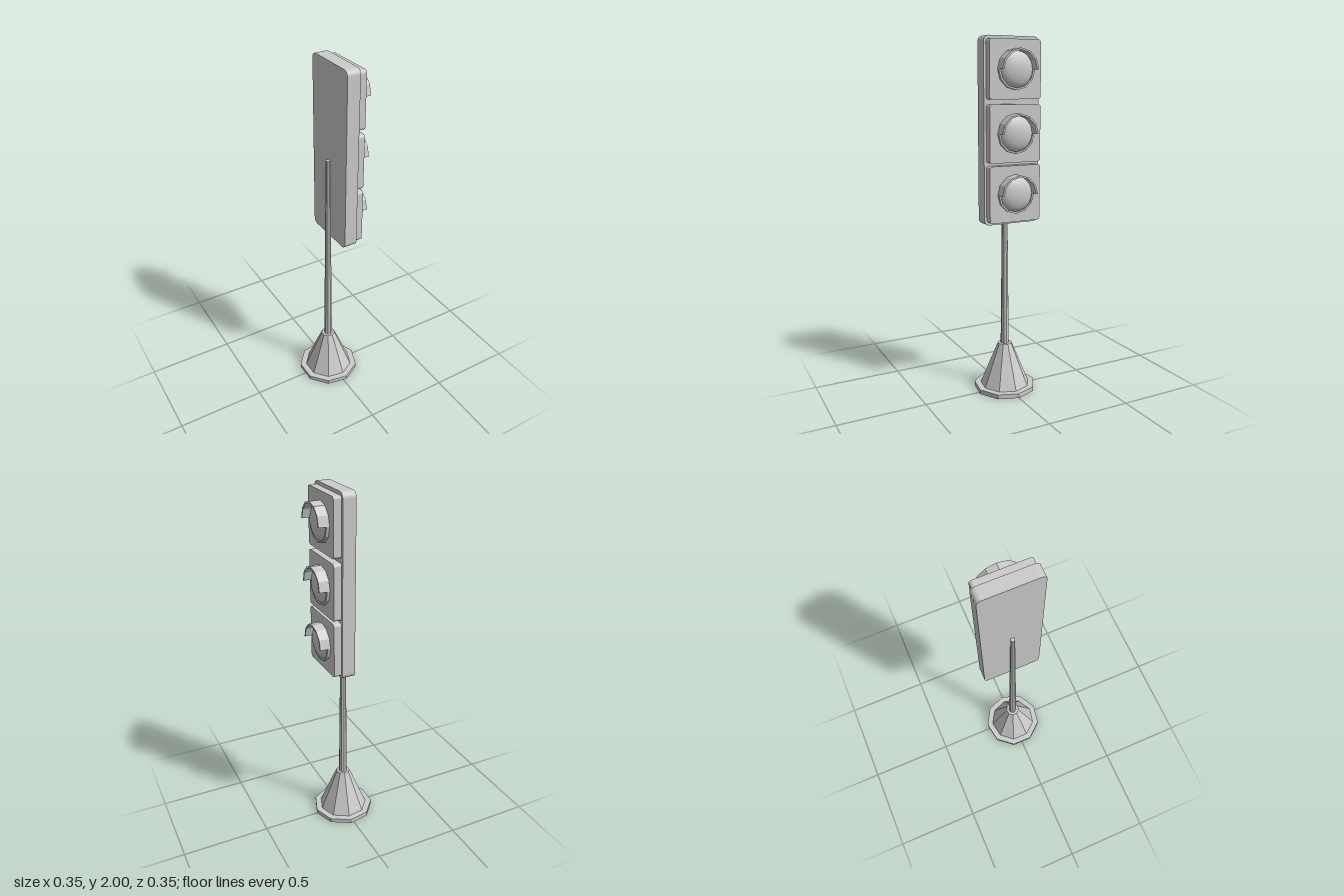
import * as THREE from 'three';

const flat = new THREE.MeshStandardMaterial({ color: 0xcccccc, flatShading: true });
const smooth = new THREE.MeshStandardMaterial({ color: 0xcccccc });

function add(parent, name, geometry, material = flat) {
  const mesh = new THREE.Mesh(geometry, material);
  mesh.name = name;
  parent.add(mesh);
  return mesh;
}

// Nine-sided tapered post section with a corner towards +x
function post(parent, name, rTop, rBottom, y0, y1) {
  const g = new THREE.CylinderGeometry(rTop, rBottom, y1 - y0, 9, 1, false, Math.PI / 2);
  add(parent, name, g).position.set(-0.009, (y0 + y1) / 2, 0);
}

// Extrude a shape drawn in (-z, y) along +x, starting at x0
function extrudeX(shape, x0, depth, curveSegments) {
  return new THREE.ExtrudeGeometry(shape, { depth, bevelEnabled: false, curveSegments })
    .rotateY(Math.PI / 2).translate(x0, 0, 0);
}

// Rounded rectangular plate centred on the origin
function plate(halfW, halfH, r, x0, depth) {
  const s = new THREE.Shape();
  s.absarc(halfW - r, halfH - r, r, 0, Math.PI / 2);
  s.absarc(r - halfW, halfH - r, r, Math.PI / 2, Math.PI);
  s.absarc(r - halfW, r - halfH, r, Math.PI, Math.PI * 1.5);
  s.absarc(halfW - r, r - halfH, r, Math.PI * 1.5, Math.PI * 2);
  s.closePath();
  return extrudeX(s, x0, depth, 5);
}

// Half of a twelve-sided hood, from angle a0 to a0 + PI
function halfRing(a0, depth) {
  const outer = 0.107, inner = 0.097, points = [];
  for (let i = 0; i <= 6; i++) {
    const a = a0 + i * Math.PI / 6;
    points.push(new THREE.Vector2(Math.cos(a) * outer, Math.sin(a) * outer));
  }
  for (let i = 6; i >= 0; i--) {
    const a = a0 + i * Math.PI / 6;
    points.push(new THREE.Vector2(Math.cos(a) * inner, Math.sin(a) * inner));
  }
  return extrudeX(new THREE.Shape(points), 0.114, depth);
}

export function createModel() {
  const model = new THREE.Group();
  model.name = 'trafficLight';

  // Stand
  post(model, 'basePlate', 0.178, 0.178, 0, 0.026);
  post(model, 'baseCone', 0.04, 0.142, 0.026, 0.275);
  post(model, 'pole', 0.012, 0.024, 0.275, 1.47);

  // Backing board
  add(model, 'backBoard', plate(0.165, 0.5, 0.03, 0, 0.073)).position.y = 1.5;

  // Three lamp units
  [['topLamp', 1.828], ['middleLamp', 1.494], ['bottomLamp', 1.17]].forEach(([name, y]) => {
    const lamp = new THREE.Group();
    lamp.name = name;
    lamp.position.y = y;
    add(lamp, 'lampHousing', plate(0.152, 0.154, 0.016, 0.073, 0.043));
    add(lamp, 'visor', halfRing(0, 0.061));
    add(lamp, 'lowerRim', halfRing(Math.PI, 0.018));
    const dome = new THREE.SphereGeometry(0.098, 24, 8, 0, Math.PI * 2, 0, Math.PI / 2)
      .rotateZ(-Math.PI / 2).scale(0.45, 1, 1).translate(0.115, 0, 0);
    add(lamp, 'lens', dome, smooth);
    model.add(lamp);
  });

  return model;
}
